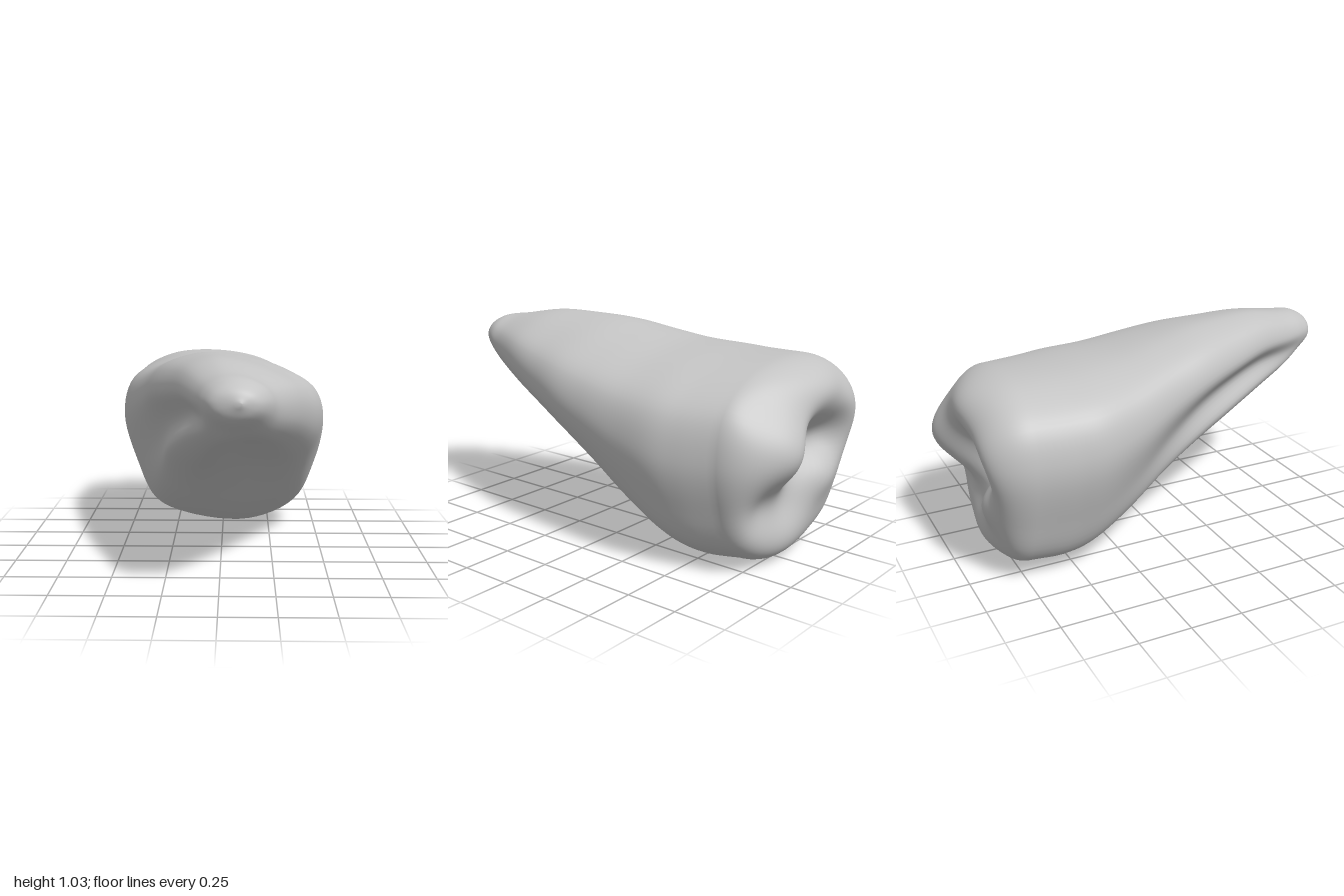
import * as THREE from 'three';

const V = (x, y, z = 0) => new THREE.Vector3(x, y, z);
const AROUND = 78, ALONG = 72, CAP = 28;

// Normalised cross-sections, counter-clockwise seen from the front
const crown = [[1, .15], [.9, .6], [.54, .88], [0, 1], [-.55, .95], [-.9, .72], [-1, .3],
  [-.87, -.3], [-.69, -.75], [-.37, -.93], [.28, -1], [.74, -.76], [.92, -.32]];
const root = [[1, .05], [.88, .42], [.5, .74], [0, .96], [-.42, 1], [-.84, .76], [-.98, .3],
  [-.73, -.18], [-.82, -.66], [-.5, -1], [.1, -.84], [.66, -.78], [.95, -.4]];
const round = crown.map((_, i) => {
  const a = 0.1 + i / 13 * Math.PI * 2;
  return [Math.cos(a), Math.sin(a)];
});

// Stations: z, xMin, xMax, yMin, yMax, root share, round share
const stations = [
  [-.72, -.52, .46, .015, .935, 0, 0],
  [-.55, -.53, .505, .005, .935, 0, 0],
  [-.4, -.53, .53, .05, .94, 0, 0],
  [-.2, -.475, .52, .165, .95, .15, 0],
  [0, -.405, .505, .305, .98, .45, 0],
  [.2, -.345, .48, .43, 1.01, .8, 0],
  [.4, -.27, .42, .525, 1.02, 1, 0],
  [.6, -.19, .35, .61, 1.02, 1, 0],
  [.8, -.11, .26, .69, .99, .6, .4],
  [.9, -.07, .22, .755, .975, .15, .85],
  [.97, -.02, .17, .81, .94, 0, 1],
  [1, .08, .1, .87, .89, 0, 1],
];

// Bumps and pits of the rear face: x, y, outward height, radius
const relief = [
  [.2, .57, .10, .14], [-.38, .66, .05, .13], [-.08, .84, .06, .13], [.38, .86, -.08, .13],
  [-.05, .52, -.17, .11], [-.25, .56, -.08, .08], [.25, .34, -.08, .1],
  [.05, .3, -.06, .09], [-.2, .37, .04, .08], [-.22, .2, -.05, .16], [.2, .18, -.04, .14],
];

function ring([z, x0, x1, y0, y1, r, o]) {
  const pts = crown.map((c, i) => {
    const mix = k => c[k] * (1 - r - o) + root[i][k] * r + round[i][k] * o;
    return V((x0 + x1) / 2 + mix(0) * (x1 - x0) / 2, (y0 + y1) / 2 + mix(1) * (y1 - y0) / 2, z);
  });
  const curve = new THREE.CatmullRomCurve3(pts, true);
  return Array.from({ length: AROUND }, (_, j) => curve.getPoint(j / AROUND));
}

function createBody() {
  const rings = [];
  const guides = stations.map(ring);
  const edge = guides[0];

  // Rear face: rings shrinking to a centre, rounded at the rim
  for (let i = 0; i < CAP; i++) {
    const s = Math.sin(i / CAP * Math.PI / 2);
    const dome = Math.sqrt(1 - s ** 5);
    rings.push(edge.map(p => {
      const x = -.03 + (p.x + .03) * s, y = .5 + (p.y - .5) * s;
      let h = .2;
      for (const [bx, by, amount, radius] of relief)
        h += amount * Math.exp(-((x - bx) ** 2 + (y - by) ** 2) / (2 * radius * radius));
      return V(x, y, edge[0].z - h * dome);
    }));
  }

  // Body from the rear rim to the tip
  const lines = edge.map((_, j) => new THREE.CatmullRomCurve3(guides.map(g => g[j]), false, 'catmullrom', .5));
  for (let i = 0; i <= ALONG; i++) rings.push(lines.map(l => l.getPoint(i / ALONG)));

  const positions = rings.flat().flatMap(p => [p.x, p.y, p.z]);
  const index = [];
  for (let i = 0; i < rings.length - 1; i++) {
    for (let j = 0; j < AROUND; j++) {
      const k = (j + 1) % AROUND;
      const a = i * AROUND + j, b = i * AROUND + k;
      if (i > 0) index.push(a, b, b + AROUND);
      index.push(a, b + AROUND, a + AROUND);
    }
  }
  // Close the tip
  const last = (rings.length - 1) * AROUND;
  for (let j = 1; j < AROUND - 1; j++) index.push(last, last + j, last + j + 1);

  const geometry = new THREE.BufferGeometry();
  geometry.setAttribute('position', new THREE.Float32BufferAttribute(positions, 3));
  geometry.setIndex(index);
  geometry.computeVertexNormals();
  return geometry;
}

export function createModel() {
  const group = new THREE.Group();
  group.name = 'tooth';
  const material = new THREE.MeshStandardMaterial({ color: 0xc4c4c4 });
  material.name = 'plain grey';
  const body = new THREE.Mesh(createBody(), material);
  body.name = 'crownAndRoot';
  group.add(body);
  return group;
}
